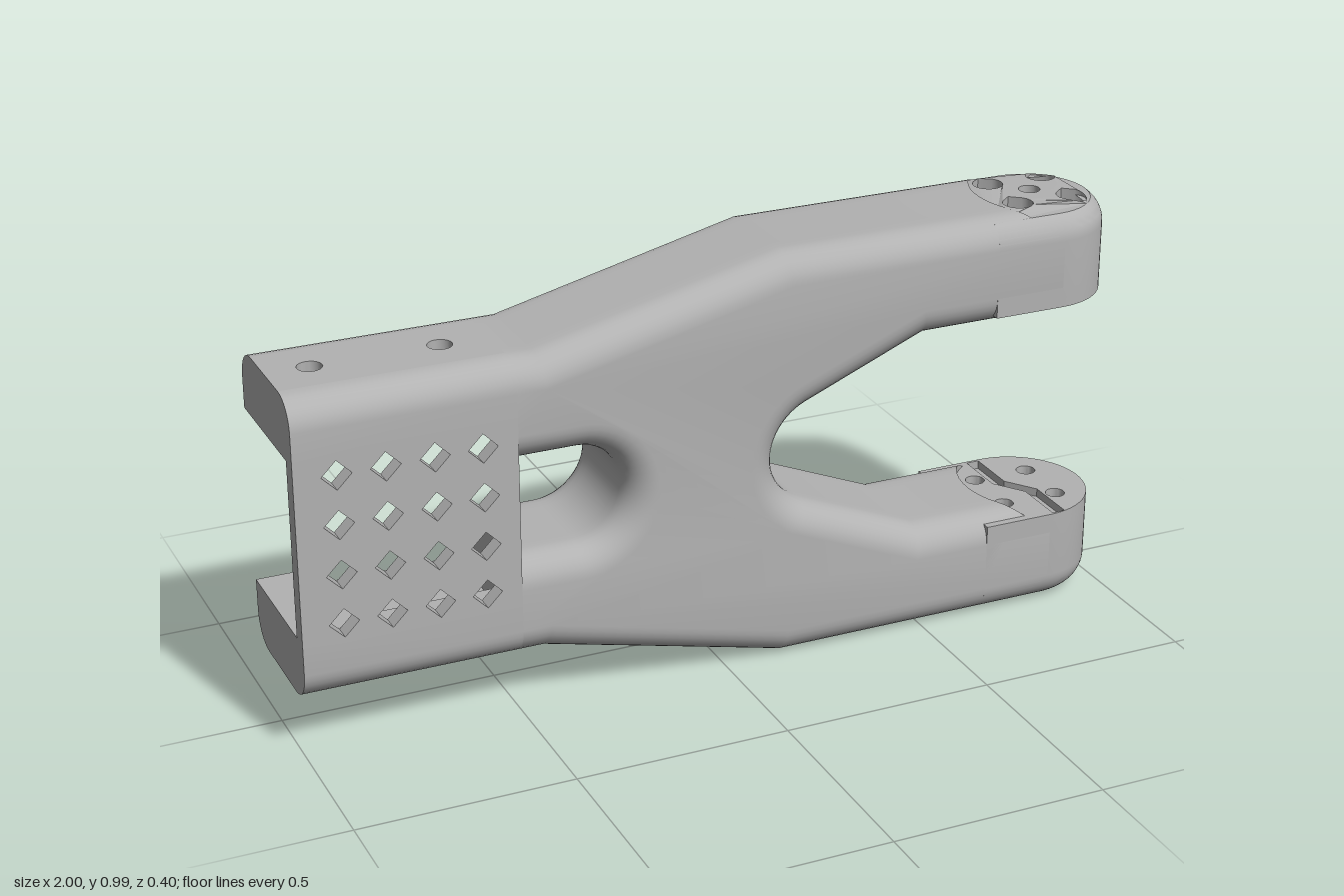
import * as THREE from 'three';
import { toCreasedNormals } from 'three/addons/utils/BufferGeometryUtils.js';

const C = 0.4925;            // height of the symmetry plane
const ZM = 0.03, HALF = 0.17, R = 0.07; // body depth centre, half depth, edge radius
const TOP = 0.4925, TIPX = 0.83;

// Edit each vertex of a geometry by a rule, then rebuild normals.
function warp(geo, rule) {
  const p = geo.attributes.position, v = new THREE.Vector3();
  for (let i = 0; i < p.count; i++) {
    rule(v.fromBufferAttribute(p, i));
    p.setXYZ(i, v.x, v.y, v.z);
  }
  return geo;
}
const crease = (geo, a = 0.5) => toCreasedNormals(geo, a);

// Mirror a non-indexed geometry through y = 0, keeping faces outward.
function flipY(geo) {
  const g = geo.clone();
  for (const name of ['position', 'normal']) {
    const a = g.attributes[name];
    for (let i = 0; i < a.count; i += 3) {
      const q = [0, 1, 2].map(k => [a.getX(i + k), -a.getY(i + k), a.getZ(i + k)]);
      q.reverse().forEach((c, k) => a.setXYZ(i + k, ...c));
    }
  }
  return g;
}

const poly = pts => new THREE.Shape(pts.map(p => new THREE.Vector2(p[0], p[1])));
const arc = (cx, cy, r, a0, a1, n = 16) => Array.from({ length: n + 1 }, (_, i) => {
  const a = THREE.MathUtils.degToRad(a0 + (a1 - a0) * i / n);
  return [cx + r * Math.cos(a), cy + r * Math.sin(a)];
});
const ring = (cx, cy, r) => new THREE.Path(arc(cx, cy, r, 0, 360, 20).slice(0, -1).map(p => new THREE.Vector2(...p)));

// Extrude a (z, y) profile along x.
function alongX(pts, x0, x1) {
  const g = new THREE.ExtrudeGeometry(poly(pts.map(([z, y]) => [-z, y])), { depth: x1 - x0, bevelEnabled: false });
  return crease(g.rotateY(Math.PI / 2).translate(x0, 0, 0));
}

// Extrude an (x, -z) plan upward from y0 to y1.
function upward(shape, y0, y1) {
  const g = new THREE.ExtrudeGeometry(shape, { depth: y1 - y0, bevelEnabled: false });
  return crease(g.rotateX(-Math.PI / 2).translate(0, y0, 0));
}

// Forked body with rounded edges; its ends are trimmed flat or to an arc.
function bodyGeometry() {
  const upper = [[-0.62, 0.3525], [-0.44, 0.3525], [0.14, TOP], [0.98, TOP], [0.98, 0.24], [0.49, 0.24]];
  const throat = arc(0.25, 0, 0.13, 114, 246, 24);
  const lower = upper.map(([x, y]) => [x, -y]).reverse();
  const slot = arc(-0.355, 0, 0.115, -90, 90, 24);
  const shape = poly([...upper, ...throat, ...lower, [-0.62, -0.115], ...slot, [-0.62, 0.115]]);
  const g = new THREE.ExtrudeGeometry(shape, {
    depth: 2 * (HALF - R), steps: 8, bevelThickness: R, bevelSize: R, bevelOffset: -R, bevelSegments: 8,
  });
  g.translate(0, 0, ZM - HALF + R);
  warp(g, v => {
    const s = Math.min(1, Math.abs(v.z - ZM) / HALF);
    v.x = THREE.MathUtils.clamp(v.x, -0.5, TIPX - 0.13 * Math.sqrt(1 - s * s));
  });
  return crease(g);
}

// Plan of an arm tip: straight sides and a half-round end.
const tipPlan = () => poly([[0.66, -HALF], ...arc(TIPX, 0, HALF, -90, 90, 32), [0.66, HALF]]);
const screwSpots = [[-0.07, -0.07], [-0.07, 0.07], [0.07, -0.07], [0.07, 0.07]].map(([x, s]) => [TIPX + x, s]);

// Arm tip with domed outer edge and teardrop counterbored screw holes.
function tipGeometry() {
  const steps = 8, y0 = 0.2825, shape = tipPlan();
  for (const [x, s] of screwSpots) {
    const pts = [...arc(x, s, 0.035, 135, 405, 18), [x, s + 0.045]];
    shape.holes.push(new THREE.Path(pts.map(p => new THREE.Vector2(...p))));
  }
  shape.holes.push(ring(TIPX, 0, 0.025));
  const g = new THREE.ExtrudeGeometry(shape, { depth: 1, steps, bevelEnabled: false });
  warp(g, v => {
    const i = Math.round(v.z * steps);
    let x = v.x, s = v.y, y;
    const r = x < TIPX ? Math.abs(s) : Math.hypot(x - TIPX, s);
    if (r > 0.165) {
      const a = Math.max(0, i - 1) / (steps - 1) * 0.96;
      const k = (HALF - R * (1 - Math.cos(a))) / HALF;
      y = i === 0 ? y0 : TOP - R + R * Math.sin(a);
      s *= k;
      if (x > TIPX) x = TIPX + (x - TIPX) * k;
    } else {
      const d = Math.max(0, r - (HALF - R));
      const roof = TOP - R + Math.sqrt(R * R - d * d), mid = 0.37;
      y = i === 0 ? y0 : i <= 2 ? mid : mid + (roof - mid) * (i - 2) / (steps - 2);
      const spot = screwSpots.find(([a, b]) => Math.hypot(x - a, s - b) < 0.05);
      if (i < 2 && spot) {
        x = spot[0] + (x - spot[0]) * 0.65;
        s = spot[1] + (s - spot[1]) * 0.65;
      }
    }
    v.set(x, y, ZM - s);
  });
  return crease(g);
}

// Mounting pad on the inner side of a tip, split by a bent cable groove.
function padGeometry() {
  const shape = tipPlan();
  for (const [x, s] of screwSpots) shape.holes.push(ring(x, s, 0.023));
  const path = [[0.805, 0.163], [0.805, 0.035], [0.855, -0.035], [0.855, -0.163]], w = 0.016;
  const groove = [...path.map(([x, s]) => [x - w, s]), ...path.map(([x, s]) => [x + w, s]).reverse()];
  shape.holes.push(new THREE.Path(groove.map(p => new THREE.Vector2(...p))));
  return upward(shape, 0.2625, 0.2825).translate(0, 0, ZM);
}

// Roof strip of the open box with two screw holes.
function roofGeometry() {
  const shape = poly([[-1, -0.13], [-0.5, -0.13], [-0.5, 0.07], [-1, 0.07]]);
  for (const x of [-0.9, -0.61]) shape.holes.push(ring(x, -0.03, 0.028));
  return upward(shape, 0.2975, 0.3525);
}

// Front wall of the box with a grid of diamond holes.
function gridGeometry() {
  const shape = poly([[-1, -0.2075], [-0.5, -0.2075], [-0.5, 0.2075], [-1, 0.2075]]);
  const d = 0.034;
  for (const x of [-0.905, -0.797, -0.688, -0.58]) {
    for (const y of [-0.173, -0.058, 0.058, 0.173]) {
      shape.holes.push(new THREE.Path([[x + d, y], [x, y + d], [x - d, y], [x, y - d]].map(p => new THREE.Vector2(...p))));
    }
  }
  const g = new THREE.ExtrudeGeometry(shape, { depth: 0.04, bevelEnabled: false });
  return crease(g.translate(0, 0, 0.16));
}

export function createModel() {
  const grey = new THREE.MeshStandardMaterial({ color: 0xb2b2b2 });
  grey.name = 'plain grey';
  const model = new THREE.Group();
  model.name = 'forkedArm';
  const core = new THREE.Group();
  core.name = 'armParts';
  core.position.y = C;
  model.add(core);
  const add = (name, geo, parent = core) => {
    const m = new THREE.Mesh(geo, grey);
    m.name = name;
    parent.add(m);
    return m;
  };
  const addPair = (name, geo) => {
    add('upper' + name, geo);
    add('lower' + name, flipY(geo));
  };

  add('forkBody', bodyGeometry());
  add('perforatedWall', gridGeometry());

  // Fork tips
  addPair('Tip', tipGeometry());
  addPair('MountPad', padGeometry());
  addPair('CentreHolePlug', crease(new THREE.CylinderGeometry(0.03, 0.03, 0.05, 20).translate(TIPX, 0.385, ZM)));

  // Open box: roof, rails with inner ledges, and end blocks
  addPair('BoxRoof', roofGeometry());
  addPair('BackRail', alongX([...arc(-0.07, 0.2825, R, 90, 180, 8),
    [-0.14, 0.2475], [-0.1, 0.2475], [-0.1, 0.2975], [-0.07, 0.2975]], -1, -0.5));
  addPair('FrontRail', alongX([...arc(0.13, 0.2825, R, 90, 0, 8),
    [0.2, 0.2075], [0.16, 0.2075], [0.16, 0.2275], [0.08, 0.2275], [0.08, 0.2975], [0.13, 0.2975]], -1, -0.5));
  addPair('EndBlock', alongX([[-0.14, 0.2075], [0.16, 0.2075], [0.16, 0.2275], [0.08, 0.2275],
    [0.08, 0.2975], [-0.1, 0.2975], [-0.1, 0.2475], [-0.14, 0.2475]], -1, -0.85));

  // Cable clip on the back: two facing jaws, set at an angle
  const clip = new THREE.Group();
  clip.name = 'cableClip';
  clip.position.set(0.305, 0.172, 0);
  clip.rotation.z = -Math.PI / 6;
  model.add(clip);
  const jaw = alongX([[-0.13, 0.085], [-0.19, 0.085], [-0.2, 0.075], [-0.2, 0.018], [-0.185, 0.008],
    [-0.17, 0.008], [-0.155, 0.024], [-0.13, 0.024]], -0.06, 0.06);
  add('upperJaw', jaw, clip);
  add('lowerJaw', flipY(jaw), clip);

  return model;
}
